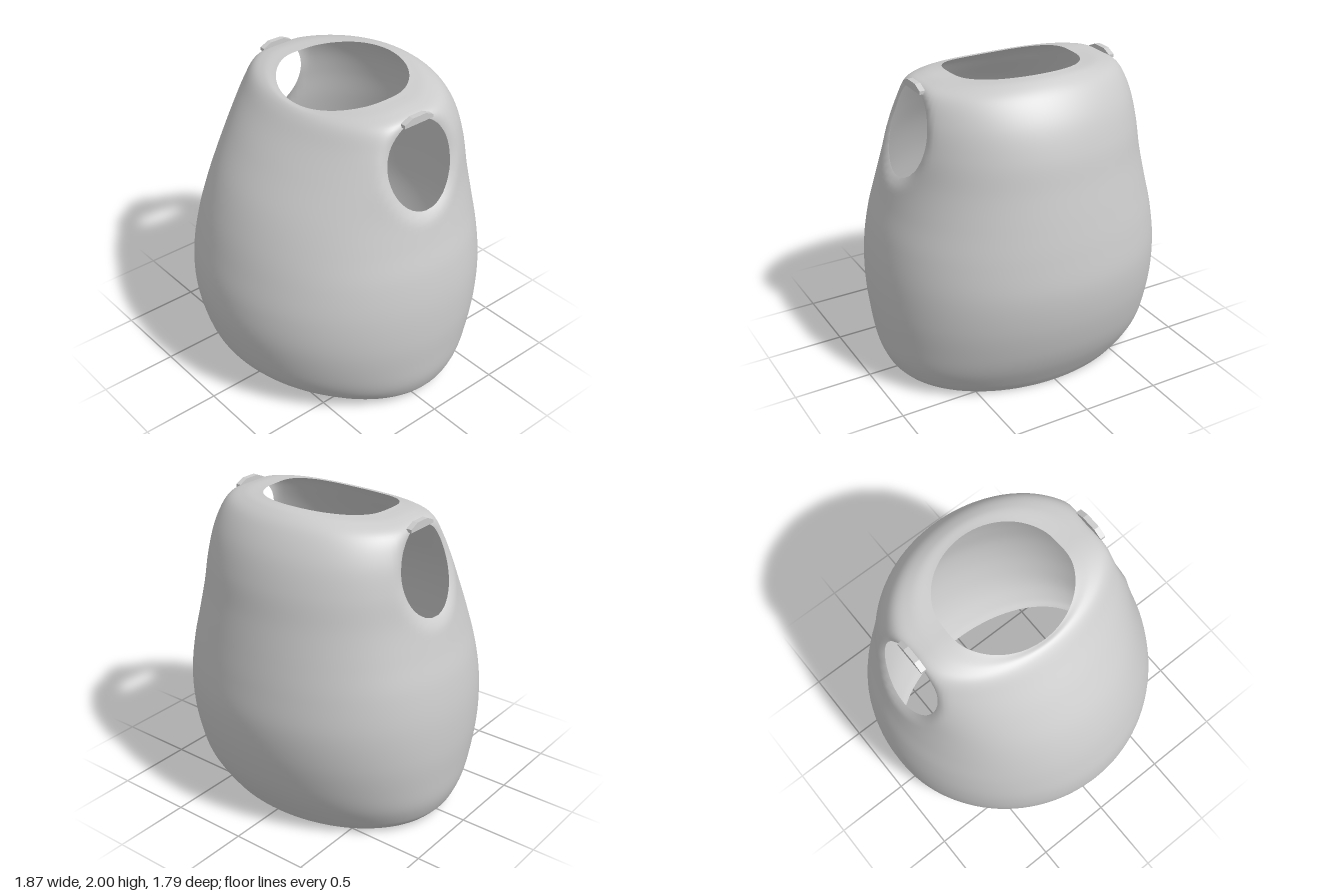
import * as THREE from 'three';

// A rounded sleeveless vest: lofted shell with neck, waist and two arm openings.
export function createModel() {
  const group = new THREE.Group();
  const cloth = new THREE.MeshStandardMaterial({ color: 0xcccccc, side: THREE.DoubleSide });
  cloth.name = 'light grey cloth';

  // Matching guide curves from hem to neck, as [distance, height]
  const guide = (pts) => new THREE.CatmullRomCurve3(
    pts.map(([d, y]) => new THREE.Vector3(d, y, 0)), false, 'catmullrom', 0.5);
  const side = guide([[.82, .04], [.86, .09], [.9, .2], [.92, .35], [.935, .55], [.93, .78], [.9, 1],
    [.85, 1.2], [.805, 1.4], [.775, 1.6], [.735, 1.78], [.67, 1.91], [.56, 1.95], [.42, 1.96]]);
  const front = guide([[.52, .005], [.6, .04], [.72, .13], [.82, .28], [.89, .55], [.893, .78], [.85, 1],
    [.79, 1.2], [.7, 1.4], [.57, 1.6], [.45, 1.76], [.38, 1.85], [.335, 1.89], [.3, 1.895]]);
  const back = guide([[-.63, .005], [-.68, .08], [-.76, .22], [-.82, .37], [-.87, .57], [-.89, .78], [-.87, 1],
    [-.84, 1.2], [-.805, 1.4], [-.77, 1.6], [-.71, 1.78], [-.62, 1.92], [-.53, 1.985], [-.45, 2]]);

  // Point on the shell: u goes round from the front, t goes up from the hem
  const midZ = -0.05;
  const surface = (u, t) => {
    const s = side.getPoint(t);
    const c = Math.cos(u);
    const e = (c > 0 ? front : back).getPoint(t);
    const reach = c > 0 ? c : Math.pow(-c, 0.9);
    return new THREE.Vector3(
      s.x * Math.sin(u),
      s.y + (e.y - s.y) * c * c,
      midZ + (e.x - midZ) * reach);
  };

  // Arm opening, an ellipse seen from the side: below 1 is inside it
  const hole = { z: -0.07, y: 1.65, rz: 0.237, ry: 0.268 };
  const holeValue = (p) => Math.hypot((p.z - hole.z) / hole.rz, (p.y - hole.y) / hole.ry);
  const holeT = 9.28 / 13;

  const cols = 112, rows = 91;
  const pos = [], index = [], inside = [];
  for (let r = 0; r <= rows; r++) {
    for (let c = 0; c < cols; c++) {
      const u = (c / cols) * Math.PI * 2, t = r / rows;
      let p = surface(u, t);
      const cut = holeValue(p) < 1;
      if (cut) {
        // Slide the point outward along the shell to the rim
        const u0 = u < Math.PI ? Math.PI / 2 : Math.PI * 1.5;
        const du = u - u0, dt = t - holeT;
        const length = Math.hypot(du, dt * 3) || 1;
        const along = (k) => surface(u0 + du / length * k, Math.min(1, holeT + dt / length * k));
        let lo = 0, hi = 1.2;
        for (let i = 0; i < 24; i++) {
          const mid = (lo + hi) / 2;
          if (holeValue(along(mid)) < 1) lo = mid; else hi = mid;
        }
        p = along(hi);
      }
      // Curl the cloth in a little toward the rim
      const near = Math.max(0, 1 - (holeValue(p) - 1) / 0.3);
      p.x -= Math.sign(p.x) * 0.03 * Math.min(1, near) ** 2;
      inside.push(cut);
      pos.push(p.x, p.y, p.z);
    }
  }
  const addFace = (a, b, c) => {
    if (!(inside[a] && inside[b] && inside[c])) index.push(a, b, c);
  };
  for (let r = 0; r < rows; r++) {
    for (let c = 0; c < cols; c++) {
      const n = (c + 1) % cols;
      const a = r * cols + c, b = r * cols + n;
      addFace(a, b, b + cols);
      addFace(a, b + cols, a + cols);
    }
  }
  const shell = new THREE.BufferGeometry();
  shell.setAttribute('position', new THREE.Float32BufferAttribute(pos, 3));
  shell.setIndex(index);
  shell.computeVertexNormals();
  const body = new THREE.Mesh(shell, cloth);
  body.name = 'vestBody';
  group.add(body);

  // Small raised fold of cloth above each arm opening
  const outline = new THREE.Shape([[-.11, 1.905], [.11, 1.905], [.11, 1.925], [.05, 1.952], [-.05, 1.952], [-.11, 1.925]]
    .map(([x, y]) => new THREE.Vector2(x, y)));
  const fold = new THREE.ExtrudeGeometry(outline, { depth: 0.035, bevelEnabled: false });
  fold.rotateY(Math.PI / 2);
  for (const s of [1, -1]) {
    const mesh = new THREE.Mesh(fold, cloth);
    mesh.name = s > 0 ? 'leftShoulderFold' : 'rightShoulderFold';
    mesh.position.set(s * 0.648 - 0.0175, 0, -0.075);
    group.add(mesh);
  }
  return group;
}
